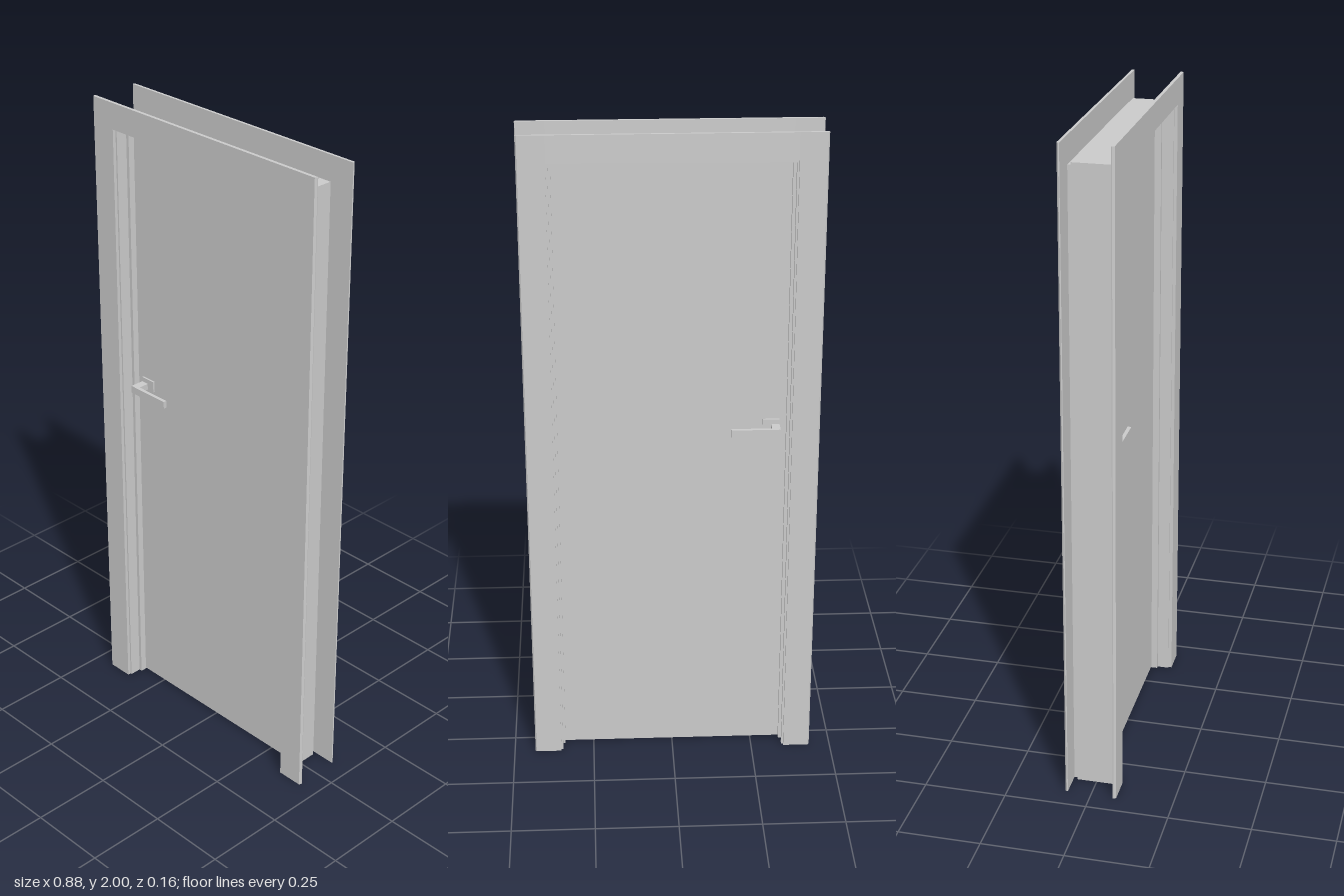
import * as THREE from 'three';

const mat = new THREE.MeshStandardMaterial({ color: 0xcccccc, flatShading: true });

// Box given by its limits on each axis
function box(name, x0, x1, y0, y1, z0, z1) {
  const g = new THREE.BoxGeometry(x1 - x0, y1 - y0, z1 - z0);
  g.translate((x0 + x1) / 2, (y0 + y1) / 2, (z0 + z1) / 2);
  const m = new THREE.Mesh(g, mat);
  m.name = name;
  return m;
}

// Door-frame shape: two legs and a head, open at the floor
function archFrame(name, outX, inX, outY, inY, z0, z1) {
  const s = new THREE.Shape([
    [-outX, 0], [-inX, 0], [-inX, inY], [inX, inY],
    [inX, 0], [outX, 0], [outX, outY], [-outX, outY],
  ].map(([x, y]) => new THREE.Vector2(x, y)));
  const g = new THREE.ExtrudeGeometry(s, { depth: z1 - z0, bevelEnabled: false });
  g.translate(0, 0, z0);
  const m = new THREE.Mesh(g, mat);
  m.name = name;
  return m;
}

// Upright trim board with a slanted outer edge; side is +1 or -1, face is the outward z direction
function trimLeg(name, side, face, outX, inX, zIn, zOut) {
  const pts = [[inX, zIn], [outX - 0.001, zIn], [outX, zIn + face * 0.003],
    [outX - 0.004, zOut], [inX, zOut]];
  const s = new THREE.Shape(pts.map(([x, z]) => new THREE.Vector2(side * x, -z)));
  const g = new THREE.ExtrudeGeometry(s, { depth: 2, bevelEnabled: false });
  g.rotateX(-Math.PI / 2);
  const m = new THREE.Mesh(g, mat);
  m.name = name;
  return m;
}

// Casing: two full-height legs with the head board between them
function casing(name, face, outX, inX, zIn, zOut) {
  const g = new THREE.Group();
  g.name = name;
  for (const side of [-1, 1]) {
    g.add(trimLeg(side > 0 ? 'leftTrim' : 'rightTrim', side, face, outX, inX, zIn, zOut));
  }
  g.add(box('headTrim', -inX, inX, 1.92, 2, Math.min(zIn, zOut), Math.max(zIn, zOut)));
  return g;
}

// Lever handle: backplate, neck and flat grip
function handle(name, face, zLeaf, zGrip) {
  const part = (n, x0, x1, y0, y1, a, b) =>
    box(n, x0, x1, y0, y1, Math.min(a, b), Math.max(a, b));
  const g = new THREE.Group();
  g.name = name;
  g.add(part('backplate', -0.32, -0.27, 1.08, 1.115, zLeaf, zLeaf + face * 0.006));
  g.add(part('neck', -0.32, -0.295, 1.08, 1.1, zLeaf, zGrip));
  g.add(part('grip', -0.32, -0.175, 1.077, 1.1, zGrip - face * 0.011, zGrip));
  return g;
}

export function createModel() {
  const model = new THREE.Group();
  model.name = 'door';

  // Casings on both wall faces
  model.add(casing('frontCasing', 1, 0.44, 0.355, 0.068, 0.078));
  model.add(casing('backCasing', -1, 0.435, 0.353, -0.072, -0.08));

  // Jamb lining, the stop around the leaf and the rear casing tongue
  model.add(archFrame('jamb', 0.365, 0.35, 1.93, 1.915, -0.06, 0.068));
  model.add(archFrame('stop', 0.351, 0.34, 1.916, 1.905, -0.038, 0.032));
  model.add(archFrame('backTongue', 0.355, 0.347, 1.92, 1.912, -0.072, -0.06));

  // Leaf
  model.add(box('leaf', -0.341, 0.341, 0.004, 1.906, -0.026, 0.012));

  // Handles on both faces
  model.add(handle('frontHandle', 1, 0.012, 0.062));
  model.add(handle('backHandle', -1, -0.026, -0.074));

  return model;
}
